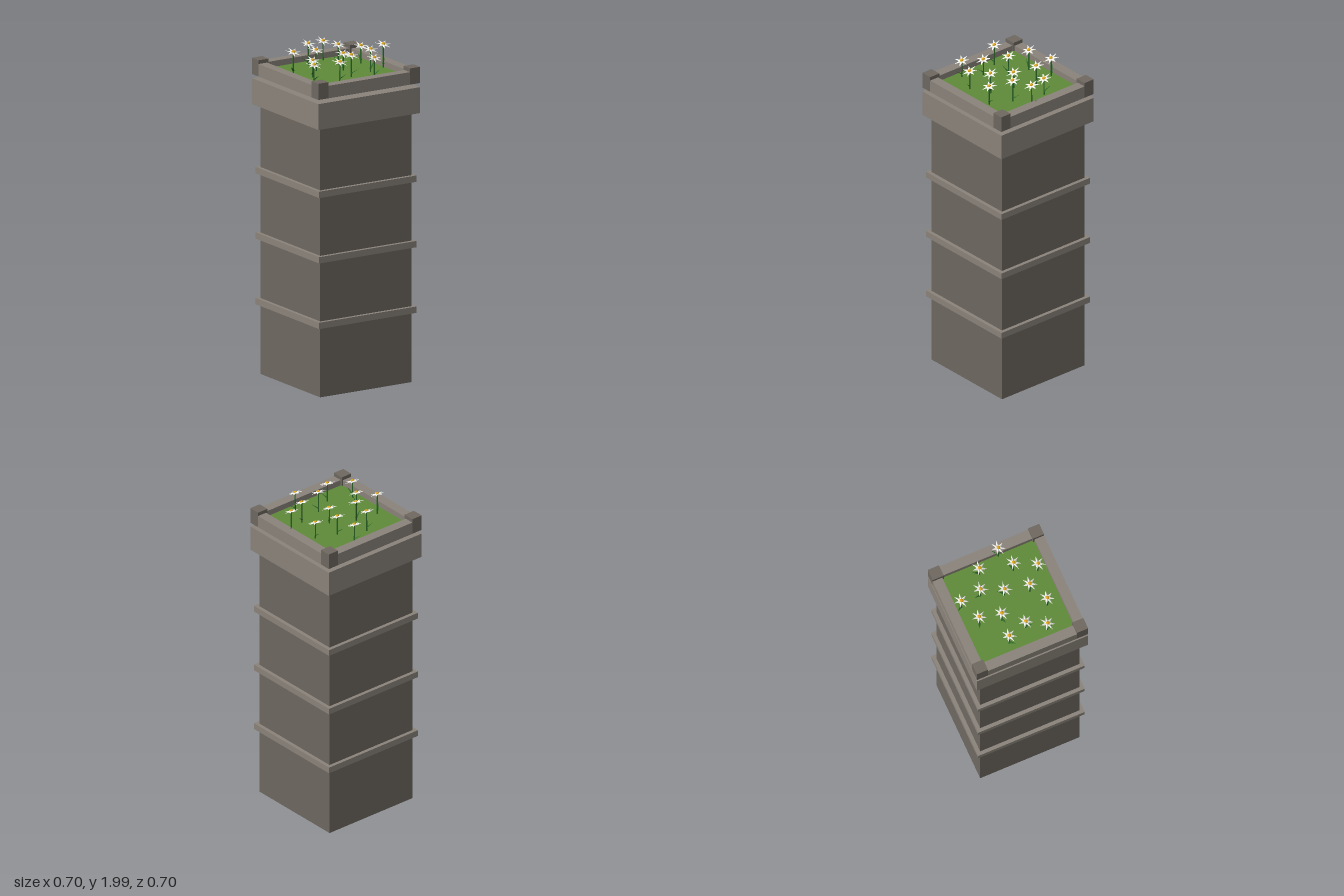
import * as THREE from 'three';
import { mergeGeometries } from 'three/addons/utils/BufferGeometryUtils.js';

const mat = (color) => new THREE.MeshStandardMaterial({ color, flatShading: true });
const GRASS_TOP = 1.835;

export function createModel() {
  const root = new THREE.Group();
  root.name = 'planterTower';
  const stone = mat(0x6e6860), trim = mat(0x8a837a), grass = mat(0x5f8a3a);
  const stemMat = mat(0x2f6b2a), petalMat = mat(0xf5f5f0), heartMat = mat(0xe0a81c);

  const add = (parent, name, geo, material, x = 0, y = 0, z = 0) => {
    const m = new THREE.Mesh(geo, material);
    m.name = name;
    m.position.set(x, y, z);
    parent.add(m);
    return m;
  };
  // box given by its bottom and top heights
  const slab = (name, w, y0, y1, d, material, x = 0, z = 0) =>
    add(root, name, new THREE.BoxGeometry(w, y1 - y0, d), material, x, (y0 + y1) / 2, z);

  // shaft, bands and cap
  slab('shaft', 0.63, 0, 1.615, 0.63, stone);
  for (const y of [0.436, 0.829, 1.221]) slab('band', 0.674, y - 0.019, y + 0.019, 0.674, trim);
  slab('cap', 0.704, 1.615, 1.77, 0.704, trim);

  // parapet: four rails between corner posts, floating just above the cap
  const out = 0.352, post = 0.07, rail = 0.06, span = 2 * (out - post);
  for (const s of [-1, 1]) {
    slab('railX', span, 1.795, 1.87, rail, trim, 0, s * (out - rail / 2));
    slab('railZ', rail, 1.795, 1.87, span, trim, s * (out - rail / 2), 0);
    for (const t of [-1, 1])
      slab('cornerPost', post, 1.795, 1.892, post, stone, s * (out - post / 2), t * (out - post / 2));
  }
  slab('grass', 0.584, 1.797, GRASS_TOP, 0.584, grass);

  // seven flattened four-sided cones make the flower's ring of petals
  const petals = [];
  for (let i = 0; i < 7; i++) {
    const p = new THREE.ConeGeometry(0.0105, 0.044, 4);
    p.scale(1, 1, 0.5);
    p.rotateX(-Math.PI / 2);
    p.translate(0, 0, -0.027);
    p.rotateY(0.08 + (i * Math.PI * 2) / 7);
    petals.push(p);
  }
  const petalGeo = mergeGeometries(petals);
  const heartGeo = new THREE.SphereGeometry(0.0115, 8, 6);
  heartGeo.scale(1, 0.7, 1);

  // flat pointed leaf rising outward along +x
  const leafGeo = new THREE.ConeGeometry(0.008, 0.055, 4);
  leafGeo.scale(1, 1, 0.4);
  leafGeo.rotateY(Math.PI / 2);
  leafGeo.translate(0, 0.0275, 0);
  leafGeo.rotateZ(-0.95);

  // x, z, head height, leaf direction (dx, dz)
  const flowers = [
    [0.08, -0.26, 1.95, -18, -21], [-0.057, -0.207, 1.965, -26, -9],
    [0.1, -0.13, 1.955, -9, -27], [-0.233, -0.095, 1.965, -23, 20],
    [-0.087, -0.078, 1.96, -27, 8], [0.225, -0.082, 1.94, 7, -29],
    [0.05, 0, 1.937, 15, -25], [-0.182, 0.032, 1.937, -8, 25],
    [0.285, 0.064, 1.973, 20, -21], [0.168, 0.108, 1.97, 25, -14],
    [0.012, 0.143, 1.965, 22, 17], [-0.105, 0.202, 1.953, 13, 23],
    [-0.245, 0.142, 1.942, 2, 25], [0.11, 0.237, 1.955, 28, 2],
  ];
  for (const [x, z, top, dx, dz] of flowers) {
    const flower = new THREE.Group();
    flower.name = 'flower';
    flower.position.set(x, GRASS_TOP, z);
    const h = top - GRASS_TOP;
    add(flower, 'stem', new THREE.CylinderGeometry(0.0035, 0.0045, h, 5), stemMat, 0, h / 2, 0);
    add(flower, 'leaf', leafGeo, stemMat, 0, 0.02, 0).rotation.y = Math.atan2(-dz, dx);
    // blossom leans toward the front
    const head = new THREE.Group();
    head.name = 'blossom';
    head.position.y = h;
    head.rotation.x = 0.35;
    add(head, 'petals', petalGeo, petalMat);
    add(head, 'flowerCentre', heartGeo, heartMat, 0, 0.004, 0);
    flower.add(head);
    root.add(flower);
  }
  return root;
}
